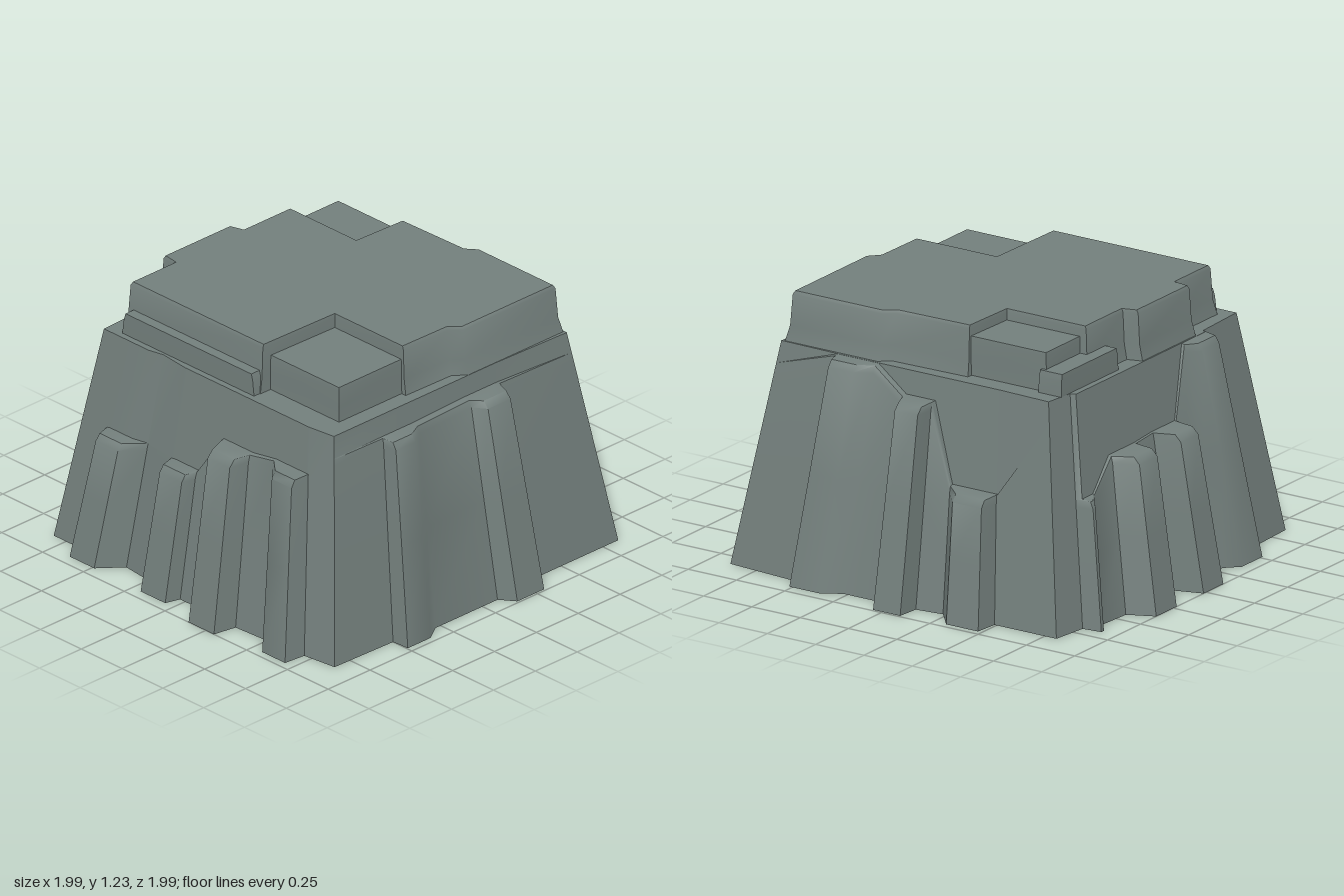
import * as THREE from 'three';
import { mergeGeometries, toCreasedNormals } from 'three/addons/utils/BufferGeometryUtils.js';

const stone = new THREE.MeshStandardMaterial({ color: 0x737f7c, side: THREE.DoubleSide });
stone.name = 'grey stone';

// Closed rings of [x, y, z] points joined into a wall
function loft(rings) {
  const pos = [];
  for (let r = 0; r < rings.length - 1; r++) {
    const lo = rings[r], hi = rings[r + 1], n = lo.length;
    for (let i = 0; i < n; i++) {
      const j = (i + 1) % n;
      pos.push(...lo[i], ...lo[j], ...hi[j], ...lo[i], ...hi[j], ...hi[i]);
    }
  }
  const g = new THREE.BufferGeometry();
  g.setAttribute('position', new THREE.Float32BufferAttribute(pos, 3));
  return g;
}

// Flat face filling an outline of [x, z] points at height y, with an optional hole
function cap(outline, y, hole) {
  const toV = (o) => o.map(([x, z]) => new THREE.Vector2(x, -z));
  const shape = new THREE.Shape(toV(outline));
  if (hole) shape.holes.push(new THREE.Path(toV(hole)));
  const g = new THREE.ShapeGeometry(shape).rotateX(-Math.PI / 2).translate(0, y, 0).toNonIndexed();
  g.deleteAttribute('uv');
  g.deleteAttribute('normal');
  return g;
}

function part(name, geometries) {
  const mesh = new THREE.Mesh(toCreasedNormals(mergeGeometries(geometries), 0.85), stone);
  mesh.name = name;
  return mesh;
}

const scaled = (o, s, cx = 0, cz = 0) => o.map(([x, z]) => [cx + (x - cx) * s, cz + (z - cz) * s]);
const rect = (x0, x1, z0, z1) => [[x0, z1], [x1, z1], [x1, z0], [x0, z0]];

// Block standing on the shoulder, flared at its foot and with a soft top edge
const SHOULDER = 1.0;
const FLARE = 1.035;
function block(name, outline, top, cx = 0, cz = 0) {
  const ring = (s, y) => scaled(outline, s, cx, cz).map(([x, z]) => [x, y, z]);
  return part(name, [
    loft([ring(FLARE, SHOULDER), ring(1.012, SHOULDER + 0.07), ring(1, top - 0.015), ring(0.988, top)]),
    cap(scaled(outline, 0.988, cx, cz), top),
  ]);
}

// Sides in turn: front, right, back, left. u runs along a side, d is the distance outward.
// corner: [u, d] where the side starts; wall: d above the ribs
// ribs: [four u values of the foot, d before, d of the rib, d after, height]
const sides = [
  { corner: [-0.84, 0.875], wall: 0.873, ribs: [
    [-0.5, -0.495, -0.36, -0.28, 0.885, 0.97, 0.92, 0.9],
    [0.09, 0.14, 0.3, 0.33, 0.92, 0.99, 0.89, 0.91]] },
  { corner: [-0.89, 0.84], wall: 0.848, ribs: [
    [-0.53, -0.515, -0.36, -0.27, 0.87, 0.943, 0.89, 0.995],
    [-0.08, -0.05, 0.09, 0.1, 0.89, 0.99, 0.885, 0.89],
    [0.23, 0.315, 0.48, 0.49, 0.87, 0.97, 0.86, 0.55]] },
  { corner: [-0.86, 0.81], wall: 0.86, ribs: [
    [-0.69, -0.68, -0.66, -0.59, 0.83, 0.92, 0.87, 0.55],
    [-0.435, -0.38, -0.225, -0.215, 0.88, 1, 0.87, 0.68],
    [-0.06, -0.02, 0.13, 0.14, 0.87, 1, 0.87, 0.69],
    [0.3, 0.36, 0.515, 0.53, 0.88, 0.94, 0.84, 0.995]] },
  { corner: [-0.825, 0.86], wall: 0.86, ribs: [
    [-0.66, -0.64, -0.49, -0.4, 0.86, 0.945, 0.84, 0.58],
    [-0.22, -0.2, -0.05, -0.03, 0.86, 0.95, 0.88, 0.58],
    [0.11, 0.145, 0.3, 0.32, 0.88, 1, 0.89, 0.77],
    [0.48, 0.56, 0.7, 0.71, 0.88, 0.965, 0.86, 0.79]] },
];

// Ribbed cliff: each foot point rises to its rib top, steps back to the wall, then on to the shoulder
function cliffRings() {
  const rings = [[], [], [], [], [], []];
  sides.forEach(({ corner, wall, ribs }, turn) => {
    const points = [[...corner, 0.9]];
    for (const [u0, u1, u2, u3, before, out, after, h] of ribs) {
      points.push([u0, before, h], [u1, out, h], [u2, out, h], [u3, after, h]);
    }
    const cos = Math.cos(turn * Math.PI / 2), sin = Math.sin(turn * Math.PI / 2);
    for (const [u, d, h] of points) {
      const at = (y, back) => {
        const k = 1 - 0.18 * y;
        const e = d + Math.min(wall - d, 0) * back;
        return [k * (u * cos + e * sin), y, k * (e * cos - u * sin)];
      };
      [at(0, 0), at(h * 0.5, 0), at(h - 0.03, 0), at(h, 0.2), at(h + 0.004, 1), at(SHOULDER, 1)]
        .forEach((p, r) => rings[r].push(p));
    }
  });
  return rings;
}

// Plateau outline with its corners cut away
const plateau = [
  [-0.2, 0.64], [0.06, 0.645], [0.11, 0.69], [0.66, 0.69], [0.66, 0.23], [0.62, 0.18], [0.61, -0.19],
  [0.34, -0.2], [0.34, -0.61], [0.06, -0.61], [0.04, -0.675], [-0.35, -0.675], [-0.36, -0.6],
  [-0.62, -0.6], [-0.62, 0.21], [-0.2, 0.22],
];

// Lower steps beside the plateau: name, x range, z range, top
const steps = [
  ['frontStep', -0.575, -0.18, 0.2, 0.63, 1.16],
  ['sideStep', 0.32, 0.6, -0.58, -0.17, 1.175],
  ['backStep', 0.2, 0.62, -0.675, -0.56, 1.1],
  ['edgeStep', -0.675, -0.6, -0.58, 0.2, 1.1],
];

export function createModel() {
  const model = new THREE.Group();
  model.name = 'rock';

  const rings = cliffRings();
  const rim = rings[rings.length - 1].map(([x, , z]) => [x, z]);
  model.add(part('ribbedCliff', [loft(rings), cap(rim, SHOULDER, scaled(plateau, FLARE))]));
  model.add(block('plateau', plateau, 1.225));

  for (const [name, x0, x1, z0, z1, top] of steps) {
    model.add(block(name, rect(x0, x1, z0, z1), top, (x0 + x1) / 2, (z0 + z1) / 2));
  }
  return model;
}
